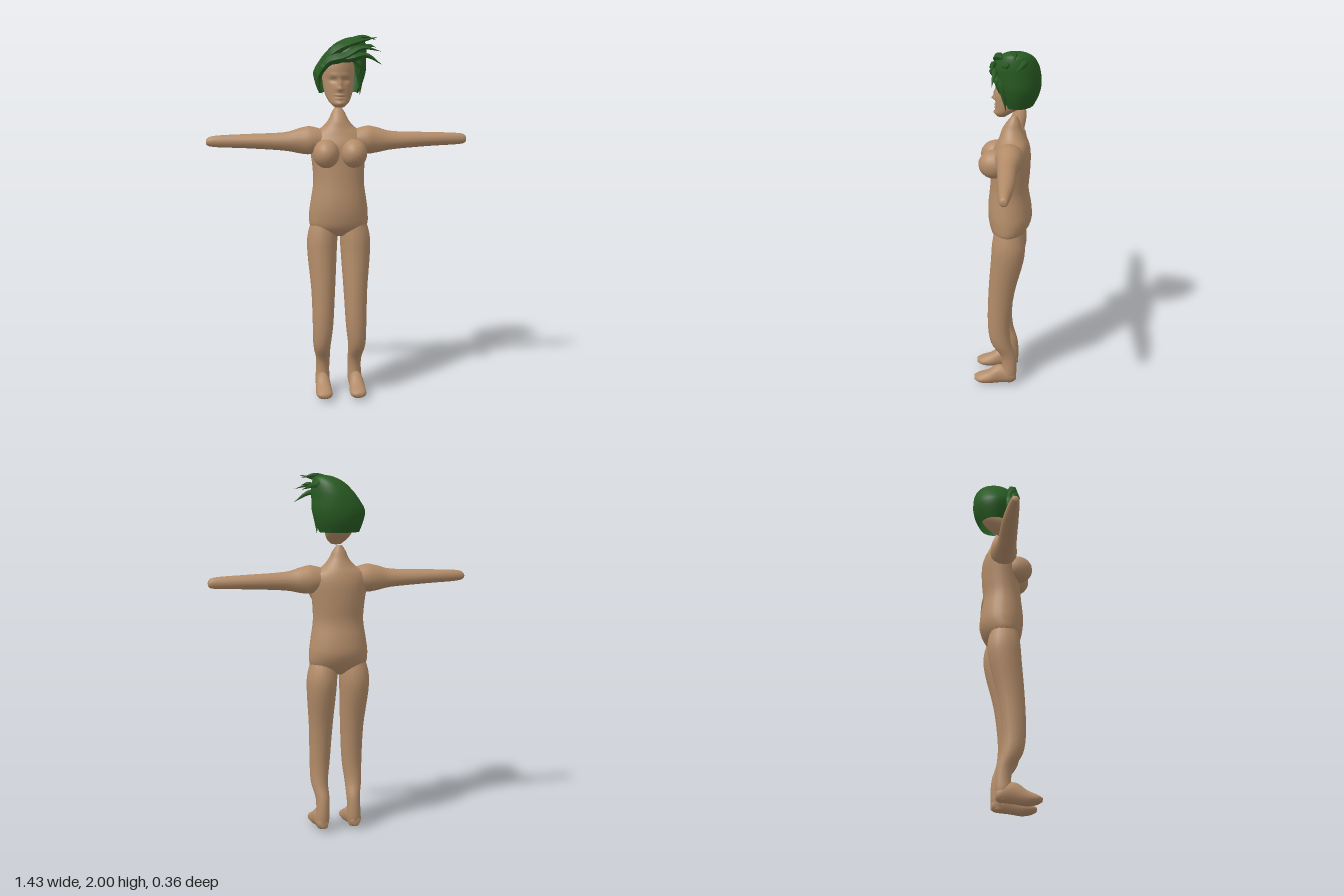
import * as THREE from 'three';

const skin = new THREE.MeshStandardMaterial({ color: 0xb38c69 });
skin.name = 'skin';
const green = new THREE.MeshStandardMaterial({ color: 0x285a22, side: THREE.DoubleSide });
green.name = 'green hair';

// Smooth surface through elliptical sections [cx, y, cz, rx, rz, gap];
// gap is the half angle left open at the front (+z).
function loft(sections, cols = 20, steps = 4, open = false) {
  const rows = (sections.length - 1) * steps;
  const curves = sections[0].map((_, k) =>
    new THREE.SplineCurve(sections.map((s, i) => new THREE.Vector2(i, s[k]))));
  const at = (t) => curves.map((c) => c.getPoint(t).y);
  const pos = [], idx = [];
  const n = open ? cols + 1 : cols;
  for (let i = 0; i <= rows; i++) {
    const [cx, y, cz, rx, rz, g = 0] = at(i / rows);
    const gap = Math.max(0, g);
    for (let j = 0; j < n; j++) {
      const a = gap + (j / cols) * (Math.PI * 2 - gap * 2);
      pos.push(cx + rx * Math.sin(a), y, cz + rz * Math.cos(a));
    }
  }
  for (let i = 0; i < rows; i++) for (let j = 0; j < cols; j++) {
    const a = i * n + j, b = i * n + (j + 1) % n;
    idx.push(a, b, a + n, b, b + n, a + n);
  }
  // End caps
  for (const end of open ? [1] : [0, 1]) {
    const s = sections[end ? sections.length - 1 : 0], c = pos.length / 3, base = end * rows * n;
    pos.push(s[0], s[1], s[2]);
    for (let j = 0; j < cols; j++) {
      const a = base + j, b = base + (j + 1) % n;
      idx.push(...(end ? [a, b, c] : [b, a, c]));
    }
  }
  const geo = new THREE.BufferGeometry();
  geo.setAttribute('position', new THREE.Float32BufferAttribute(pos, 3));
  geo.setIndex(idx);
  geo.computeVertexNormals();
  return geo;
}

// Hair strand: a tube that swells, then tapers to a point
function strand(points, radius) {
  const curve = new THREE.CatmullRomCurve3(points.map((p) => new THREE.Vector3(...p)));
  const n = 12, sides = 6;
  const geo = new THREE.TubeGeometry(curve, n, radius, sides);
  const p = geo.attributes.position, v = new THREE.Vector3();
  for (let i = 0; i <= n; i++) {
    const t = i / n, c = curve.getPointAt(t);
    const k = t < 0.35 ? 0.5 + t / 0.7 : Math.max(0.01, (1 - t) / 0.65);
    for (let j = 0; j <= sides; j++) {
      const q = i * (sides + 1) + j;
      v.fromBufferAttribute(p, q).sub(c).multiplyScalar(k).add(c);
      p.setXYZ(q, v.x, v.y, v.z);
    }
  }
  geo.computeVertexNormals();
  return geo;
}

// Head with sockets, brow, nose, lips and chin pressed into the front
function headGeometry() {
  const geo = loft([
    [0, 1.613, 0.025, 0.025, 0.025], [0, 1.635, 0.015, 0.05, 0.045], [0, 1.67, -0.015, 0.07, 0.072],
    [0, 1.71, -0.035, 0.08, 0.092], [0, 1.76, -0.045, 0.086, 0.1], [0, 1.82, -0.045, 0.088, 0.105],
    [0, 1.87, -0.045, 0.07, 0.095], [0, 1.91, -0.045, 0.04, 0.06], [0, 1.925, -0.045, 0.01, 0.015],
  ], 48, 7);
  // [x, y, width, height, push]
  const features = [
    [0.035, 1.757, 0.018, 0.011, -0.015], [-0.035, 1.757, 0.018, 0.011, -0.015],
    [0.035, 1.755, 0.008, 0.005, 0.005], [-0.035, 1.755, 0.008, 0.005, 0.005],
    [0.03, 1.785, 0.025, 0.009, 0.006], [-0.03, 1.785, 0.025, 0.009, 0.006],
    [0, 1.74, 0.009, 0.024, 0.014], [0, 1.712, 0.012, 0.011, 0.02],
    [0, 1.677, 0.022, 0.005, 0.008], [0, 1.661, 0.019, 0.005, 0.008],
    [0, 1.669, 0.024, 0.003, -0.006], [0, 1.632, 0.022, 0.012, 0.01],
  ];
  const p = geo.attributes.position;
  for (let i = 0; i < p.count; i++) {
    const x = p.getX(i), y = p.getY(i);
    if (p.getZ(i) < 0) continue;
    let z = p.getZ(i);
    for (const [fx, fy, w, h, d] of features) z += d * Math.exp(-(((x - fx) / w) ** 2) - ((y - fy) / h) ** 2);
    p.setZ(i, z);
  }
  geo.computeVertexNormals();
  return geo;
}

export function createModel() {
  const model = new THREE.Group();
  model.name = 'figure';
  const add = (name, geo, mat = skin, parent = model) => {
    const m = new THREE.Mesh(geo, mat);
    m.name = name;
    parent.add(m);
    return m;
  };

  // Torso and neck
  add('torso', loft([
    [0, 0.905, -0.012, 0.05, 0.045], [0, 0.95, -0.012, 0.15, 0.09], [0, 1.02, -0.02, 0.163, 0.117],
    [0, 1.1, -0.018, 0.154, 0.118], [0, 1.2, -0.015, 0.14, 0.105], [0, 1.3, -0.022, 0.145, 0.105],
    [0, 1.4, -0.026, 0.158, 0.104], [0, 1.46, -0.033, 0.148, 0.085], [0, 1.5, -0.032, 0.09, 0.068],
    [0, 1.54, -0.03, 0.055, 0.053], [0, 1.58, -0.036, 0.036, 0.034], [0, 1.612, -0.042, 0.015, 0.014],
  ], 28));

  for (const s of [1, -1]) {
    const side = s > 0 ? 'left' : 'right';

    // Chest
    const chest = add(side + 'Breast', new THREE.SphereGeometry(1, 20, 14));
    chest.scale.set(0.072, 0.078, 0.085);
    chest.position.set(s * 0.075, 1.365, 0.06);

    // Arm, lofted outwards along x
    const tip = s > 0 ? 0.712 : 0.72;
    const arm = loft([
      [0.06, 1.43, -0.025, 0.05, 0.06], [0.15, 1.43, -0.025, 0.076, 0.074], [0.21, 1.428, -0.027, 0.07, 0.066],
      [0.3, 1.425, -0.025, 0.05, 0.052], [0.5, 1.428, -0.035, 0.039, 0.043],
      [0.68, 1.428, -0.037, 0.03, 0.026], [tip, 1.425, -0.037, 0.012, 0.014],
    ].map(([x, y, z, ry, rz]) => [-s * y, x, z, ry, rz]), 16);
    arm.rotateZ(-s * Math.PI / 2);
    add(side + 'Arm', arm);

    // Leg
    add(side + 'Leg', loft([
      [0.08, 0.99, -0.012, 0.07, 0.07], [0.09, 0.9, -0.016, 0.083, 0.089], [0.093, 0.8, -0.01, 0.081, 0.09],
      [0.09, 0.6, 0.022, 0.066, 0.073], [0.093, 0.4, 0.037, 0.057, 0.063], [0.098, 0.28, 0.026, 0.048, 0.057],
      [0.09, 0.2, -0.01, 0.039, 0.045], [0.09, 0.14, -0.021, 0.037, 0.042],
      [0.092, 0.07, -0.02, 0.039, 0.043], [0.092, 0.02, -0.02, 0.028, 0.03],
    ].reverse().map(([x, ...r]) => [s * x, ...r]), 18));

    // Foot, lofted forwards along z
    const foot = loft([
      [-0.06, 0.05, 0.02, 0.025], [-0.03, 0.06, 0.037, 0.047], [0.04, 0.064, 0.04, 0.058],
      [0.1, 0.041, 0.045, 0.041], [0.15, 0.034, 0.043, 0.026], [0.18, 0.035, 0.02, 0.012],
    ].map(([z, y, rx, ry]) => [s * 0.094, z, -y, rx, ry]), 16);
    foot.rotateX(Math.PI / 2);
    add(side + 'Foot', foot);
  }

  add('head', headGeometry());

  // Hair: cap open around the face, plus swept strands
  const hair = new THREE.Group();
  hair.name = 'hair';
  model.add(hair);
  add('hairCap', loft([
    [0.005, 1.685, -0.06, 0.108, 0.085, 1.0], [0.006, 1.74, -0.06, 0.13, 0.112, 0.95],
    [0.01, 1.8, -0.06, 0.143, 0.123, 0.85], [0.027, 1.86, -0.055, 0.127, 0.125, 0.5],
    [0.045, 1.905, -0.053, 0.11, 0.117, 0], [0.067, 1.95, -0.055, 0.083, 0.092, 0],
    [0.09, 1.978, -0.055, 0.048, 0.055, 0], [0.095, 1.985, -0.055, 0.01, 0.012, 0],
  ], 28, 3, true), green, hair);

  const strands = [
    [0.032, [-0.11, 1.79, 0.03], [-0.06, 1.86, 0.05], [0.03, 1.885, 0.06], [0.12, 1.93, 0.06], [0.22, 1.91, 0.065]],
    [0.032, [-0.1, 1.82, 0.01], [-0.03, 1.91, 0.04], [0.08, 1.955, 0.03], [0.21, 1.985, 0.0]],
    [0.026, [-0.01, 1.92, -0.03], [0.08, 1.965, -0.04], [0.14, 1.985, -0.055], [0.21, 1.97, -0.05]],
    [0.026, [-0.02, 1.865, 0.055], [0.06, 1.875, 0.06], [0.14, 1.89, 0.05], [0.225, 1.84, 0.06]],
    [0.028, [0.04, 1.91, 0.04], [0.12, 1.92, 0.0], [0.17, 1.94, -0.02], [0.2, 1.93, 0.0]],
    [0.024, [0.06, 1.93, -0.1], [0.13, 1.94, -0.1], [0.21, 1.91, -0.06]],
    [0.024, [-0.06, 1.87, 0.05], [-0.1, 1.81, 0.04], [-0.13, 1.75, 0.04]],
    [0.024, [-0.085, 1.85, 0.02], [-0.112, 1.78, 0.01], [-0.108, 1.685, 0.01]],
    [0.026, [0.1, 1.88, 0.03], [0.113, 1.79, 0.01], [0.115, 1.675, -0.005]],
    [0.02, [0.07, 1.87, 0.05], [0.105, 1.84, 0.04], [0.1, 1.76, 0.03]],
  ];
  strands.forEach(([r, ...pts], i) => add('hairStrand' + (i + 1), strand(pts, r), green, hair));

  return model;
}
